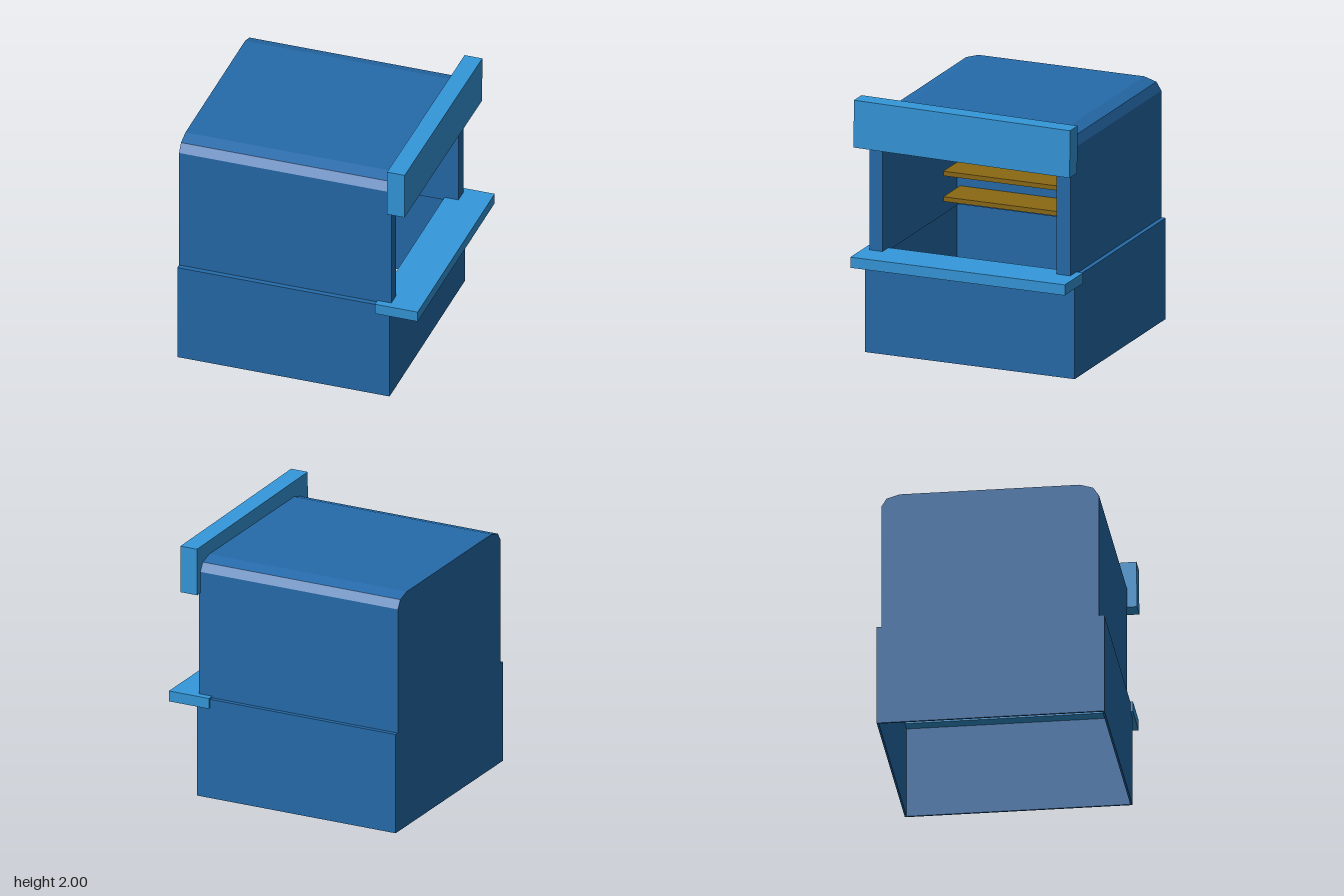
import * as THREE from 'three';

export function createModel() {
  const model = new THREE.Group();
  model.name = 'kiosk';
  const mat = (name, color) => {
    const m = new THREE.MeshStandardMaterial({ color });
    m.name = name;
    return m;
  };
  const bodyBlue = mat('body blue', 0x256bab);
  const trimBlue = mat('light trim blue', 0x3498db);
  const wood = mat('shelf brown', 0x8b6914);

  const add = (name, geometry, material) => {
    const mesh = new THREE.Mesh(geometry, material);
    mesh.name = name;
    model.add(mesh);
    return mesh;
  };
  // Box given by its minimum and maximum on each axis
  const box = (name, [x0, x1], [y0, y1], [z0, z1], material) => {
    const mesh = add(name, new THREE.BoxGeometry(x1 - x0, y1 - y0, z1 - z0), material);
    mesh.position.set((x0 + x1) / 2, (y0 + y1) / 2, (z0 + z1) / 2);
    return mesh;
  };

  const back = -0.955, front = 0.725, wall = 0.015, ledgeY = 0.79;

  // Hollow base, open at the top and bottom
  const zl = -0.865, zr = 0.85;
  box('baseBackWall', [back, back + wall], [0, ledgeY], [zl, zr], bodyBlue);
  box('baseCounterWall', [front - wall, front], [0, ledgeY], [zl, zr], bodyBlue);
  box('baseSideWallLeft', [back + wall, front - wall], [0, ledgeY], [zr - wall, zr], bodyBlue);
  box('baseSideWallRight', [back + wall, front - wall], [0, ledgeY], [zl, zl + wall], bodyBlue);

  // Ledges between the wide base and the narrower upper body
  box('ledgeLeft', [back + wall, front - wall], [ledgeY - 0.01, ledgeY], [0.705, zr - wall], bodyBlue);
  box('ledgeRight', [back + wall, front - wall], [ledgeY - 0.01, ledgeY], [zl + wall, -0.715], bodyBlue);

  // Upper body: bevelled arch section swept along x (shape x is -z)
  const pts = (list) => list.map(([z, y]) => new THREE.Vector2(-z, y));
  const outer = [[0.81, ledgeY], [0.81, 1.78], [0.765, 1.845], [0.665, 1.875],
    [-0.69, 1.875], [-0.79, 1.845], [-0.83, 1.78], [-0.83, ledgeY]];
  const inner = [[-0.715, ledgeY], [-0.715, 1.72], [0.705, 1.72], [0.705, ledgeY]];
  const sweep = (shape, x, depth) => {
    const g = new THREE.ExtrudeGeometry(shape, { depth, bevelEnabled: false });
    g.rotateY(Math.PI / 2);
    g.translate(x, 0, 0);
    return g;
  };
  add('upperShell', sweep(new THREE.Shape(pts([...outer, ...inner])), back + wall, front - back - wall), bodyBlue);
  add('upperBackWall', sweep(new THREE.Shape(pts(outer)), back, wall), bodyBlue);

  // Inner panel carrying the shelves
  box('shelfPanel', [-0.67, -0.65], [ledgeY, 1.72], [-0.715, 0.705], bodyBlue);
  for (const y of [0.918, 1.118, 1.34, 1.513]) {
    box('shelf', [-0.65, -0.34], [y - 0.018, y + 0.018], [-0.695, 0.68], wood);
  }

  // Serving counter and slightly tilted sign board
  box('counter', [0.615, 0.953], [0.72, 0.803], [-0.885, 0.867], trimBlue);
  const sign = box('signBoard', [0.715, 0.855], [1.62, 1.99], [-0.883, 0.883], trimBlue);
  sign.rotation.x = -0.0115;

  return model;
}
